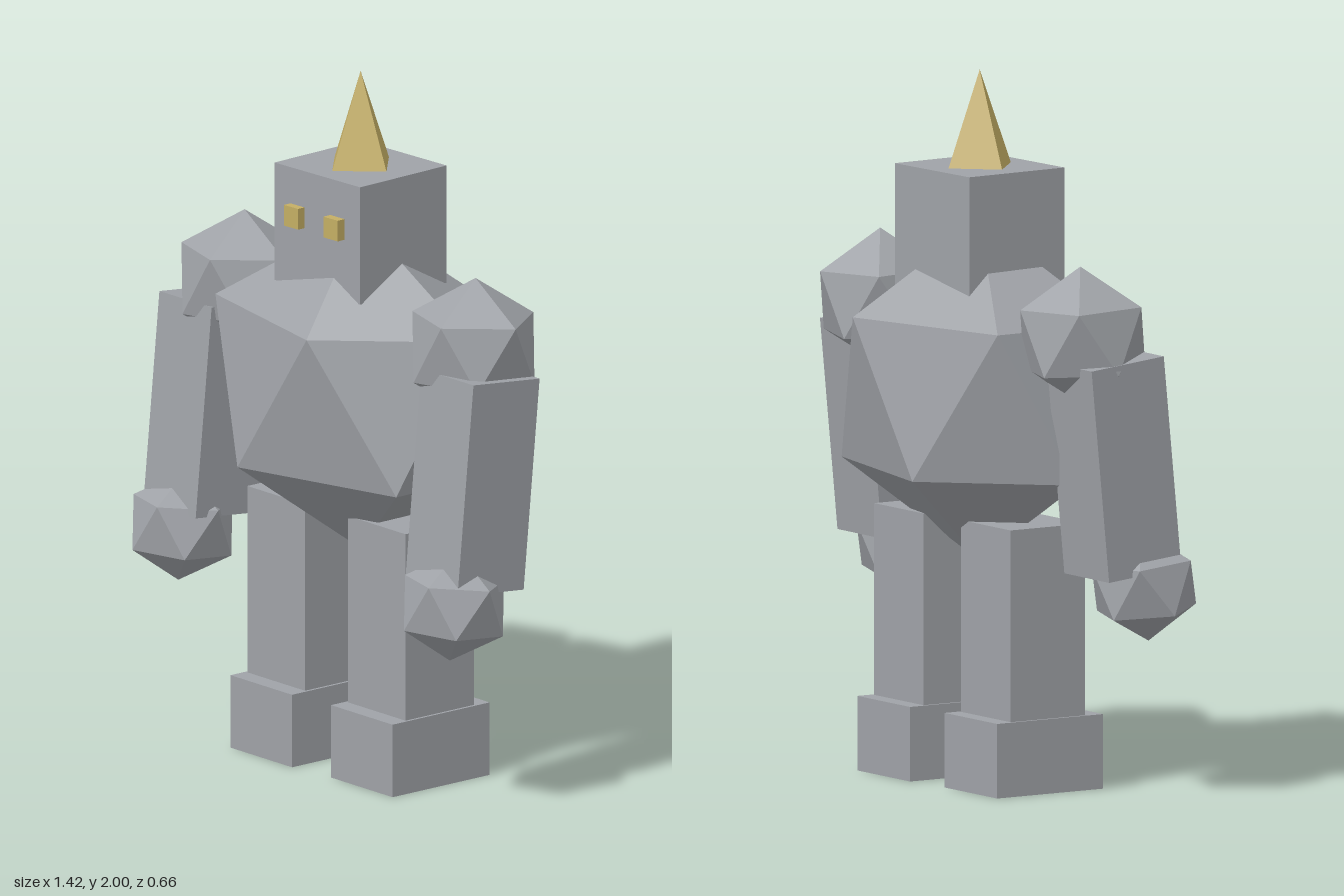
import * as THREE from 'three';

const stone = new THREE.MeshStandardMaterial({ color: 0x9fa2a7, flatShading: true });
stone.name = 'grey stone';
const gold = new THREE.MeshStandardMaterial({ color: 0xc4ae64, flatShading: true });
gold.name = 'dull gold';

// Icosahedron standing on a corner, with an upper-ring corner towards +x
const boulderGeometry = new THREE.IcosahedronGeometry(1, 0);
boulderGeometry.rotateZ(-Math.atan(2 / (1 + Math.sqrt(5))));

export function createModel() {
  const model = new THREE.Group();
  model.name = 'stoneGolem';

  function place(name, geometry, material, position, tilt = 0, yaw = 0) {
    const mesh = new THREE.Mesh(geometry, material);
    mesh.name = name;
    mesh.position.set(...position);
    mesh.rotation.set(tilt, yaw, 0);
    model.add(mesh);
    return mesh;
  }
  const box = (name, size, position, tilt, yaw, material = stone) =>
    place(name, new THREE.BoxGeometry(...size), material, position, tilt, yaw);
  const boulder = (name, radii, position, tilt, yaw) =>
    place(name, boulderGeometry, stone, position, tilt, yaw).scale.set(...radii);

  // Torso and head
  boulder('torso', [0.526, 0.48, 0.388], [0, 1.097, 0], 0, -0.015);
  box('head', [0.35, 0.34, 0.33], [0, 1.56, 0], 0, 0.012);
  place('horn', new THREE.ConeGeometry(0.107, 0.27, 4), gold, [0, 1.865, 0]);

  // Paired parts
  for (const [side, s] of [['left', 1], ['right', -1]]) {
    const yaw = -0.035;
    box(side + 'Eye', [0.058, 0.06, 0.06], [s * 0.082 + 0.002, 1.595, 0.16], 0, 0.012, gold);
    boulder(side + 'Shoulder', [0.199, 0.2, 0.199], [s * 0.478, 1.3, 0.01], -0.04, yaw);
    box(side + 'Arm', [0.225, 0.603, 0.243], [s * 0.542, 0.943, 0.072], -0.1, yaw);
    boulder(side + 'Hand', [0.163, 0.157, 0.163], [s * 0.562, 0.598, 0.16], -0.1, yaw);
    box(side + 'Leg', [0.248, 0.55, 0.25], [s * 0.208, 0.475, 0], 0, yaw);
    box(side + 'Foot', [0.265, 0.21, 0.355], [s * 0.208, 0.105, 0.002], 0, yaw);
  }
  return model;
}
